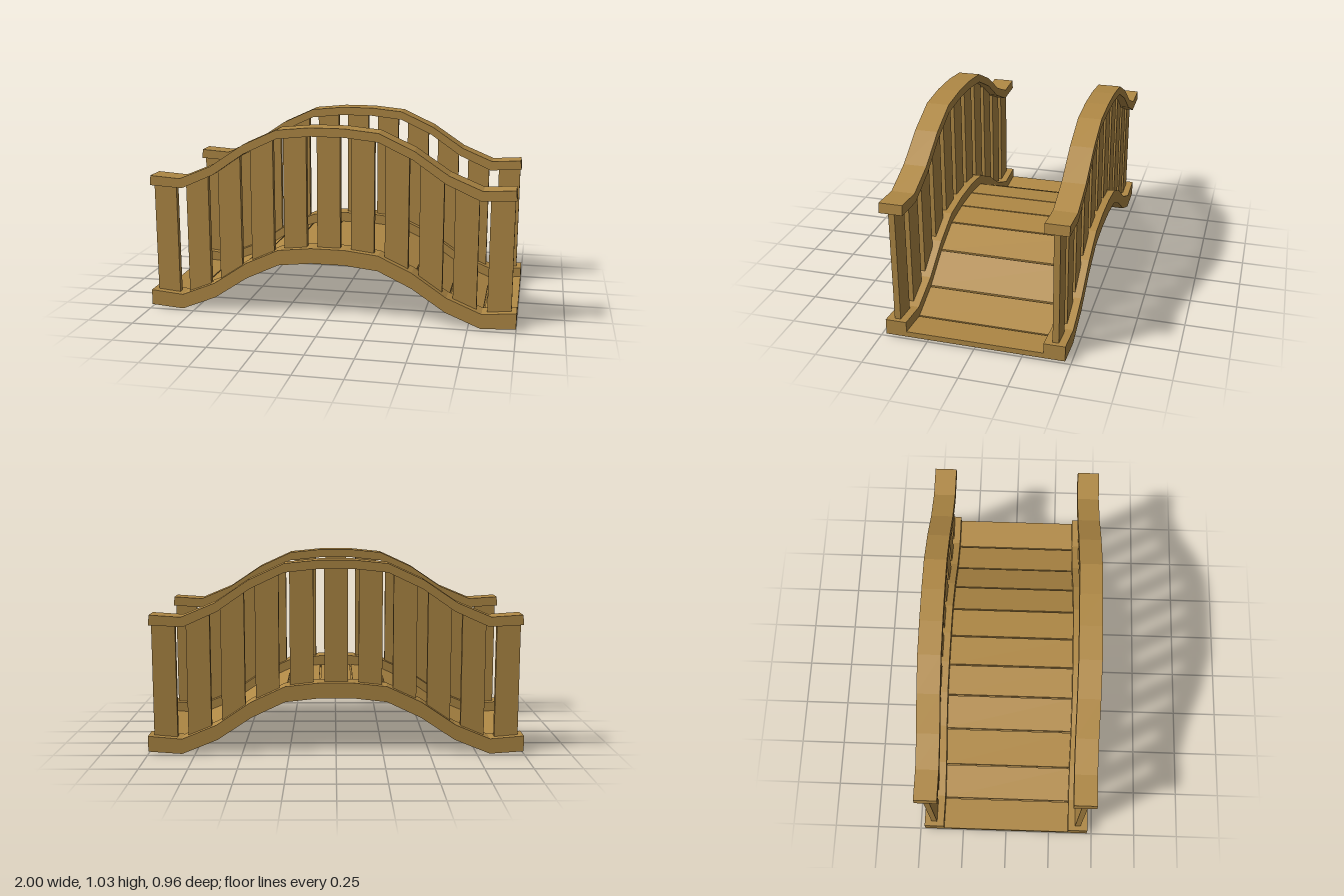
import * as THREE from 'three';

const wood = new THREE.MeshStandardMaterial({ color: 0xb08945, flatShading: true });

// Half of each arch line, from the middle outwards: [x, y]
const mirrorLine = (half) => [...half.map(([x, y]) => [-x, y]).reverse(), ...half];
const curbBottom = mirrorLine([[0.09, 0.305], [0.27, 0.285], [0.45, 0.2], [0.63, 0.08], [0.82, 0.003], [1, 0.016]]);
const curbTop = mirrorLine([[0.09, 0.388], [0.27, 0.368], [0.45, 0.285], [0.635, 0.16], [0.82, 0.084], [1, 0.1]]);
const railBottom = mirrorLine([[0.09, 0.99], [0.27, 0.971], [0.45, 0.886], [0.62, 0.768], [0.8, 0.687], [0.98, 0.697]]);
const railTop = mirrorLine([[0.09, 1.036], [0.27, 1.018], [0.455, 0.933], [0.635, 0.812], [0.81, 0.739], [0.975, 0.75]]);

const lower = (line, d) => line.map(([x, y]) => [x, y - d]);

// Height of a line at x
function heightAt(line, x) {
  let i = 0;
  while (i < line.length - 2 && x > line[i + 1][0]) i++;
  const [x0, y0] = line[i], [x1, y1] = line[i + 1];
  return y0 + (y1 - y0) * (x - x0) / (x1 - x0);
}

// Solid between two lines, running from z0 to z1
function slab(name, bottom, top, z0, z1) {
  const outline = [...bottom, ...[...top].reverse()].map(([x, y]) => new THREE.Vector2(x, y));
  const geometry = new THREE.ExtrudeGeometry(new THREE.Shape(outline), { depth: z1 - z0, bevelEnabled: false });
  geometry.translate(0, 0, z0);
  const mesh = new THREE.Mesh(geometry, wood);
  mesh.name = name;
  return mesh;
}

export function createModel() {
  const bridge = new THREE.Group();
  bridge.name = 'archedFootbridge';

  // Deck: solid base with separate planks on top
  const plankTop = lower(curbTop, 0.055);
  const plankBottom = lower(curbTop, 0.07);
  bridge.add(slab('deckBase', curbBottom, plankBottom, -0.36, 0.36));
  const planks = new THREE.Group();
  planks.name = 'planks';
  const last = plankTop.length - 2;
  for (let i = 0; i <= last; i++) {
    const a = plankTop[i][0] + (i > 0 ? 0.004 : 0);
    const b = plankTop[i + 1][0] - (i < last ? 0.004 : 0);
    const edge = (line) => [a, b].map((x) => [x, heightAt(line, x)]);
    planks.add(slab('plank', edge(plankBottom), edge(plankTop), -0.36, 0.36));
  }
  bridge.add(planks);

  // Each side: curb, handrail and flat posts between them
  for (const s of [1, -1]) {
    const side = new THREE.Group();
    side.name = s > 0 ? 'frontRailing' : 'backRailing';
    const add = (name, bottom, top, near, far) =>
      side.add(slab(name, bottom, top, Math.min(s * near, s * far), Math.max(s * near, s * far)));
    add('curb', curbBottom, curbTop, 0.36, 0.471);
    add('handrail', railBottom, railTop, 0.355, 0.478);
    for (let i = -5; i <= 5; i++) {
      const xs = [i * 0.182 - 0.0625, i * 0.182 + 0.0625];
      add('post', xs.map((x) => [x, heightAt(curbTop, x) - 0.01]),
        xs.map((x) => [x, heightAt(railBottom, x) + 0.01]), 0.4, 0.432);
    }
    bridge.add(side);
  }
  return bridge;
}
